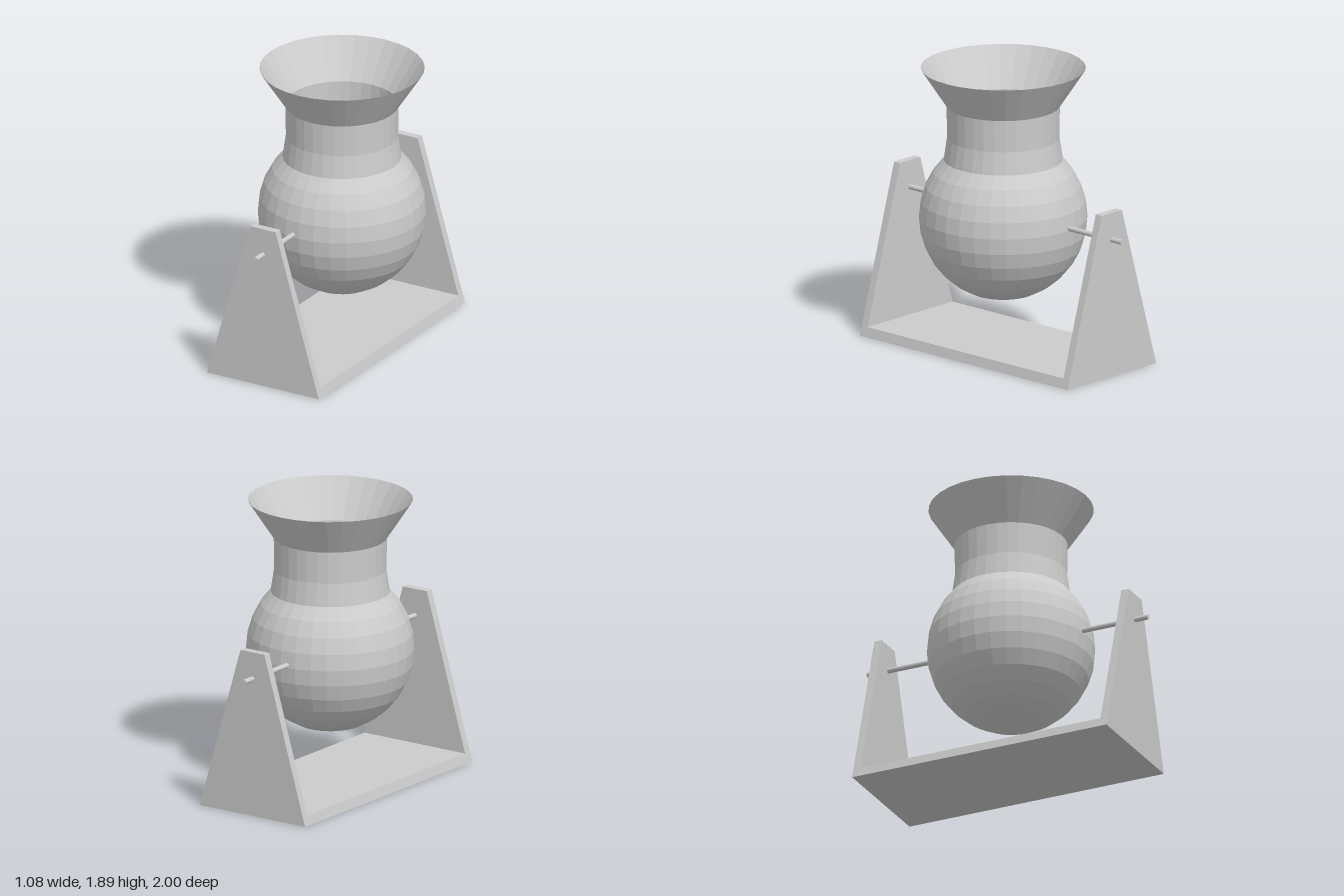
import * as THREE from 'three';

const AXIS_X = -0.045; // the stand and axle sit slightly off the vessel's centre

export function createModel() {
  const group = new THREE.Group();
  const solid = new THREE.MeshStandardMaterial({ color: 0xcccccc, flatShading: true });
  const shell = new THREE.MeshStandardMaterial({ color: 0xcccccc, flatShading: true, side: THREE.DoubleSide });

  const add = (name, geometry, material) => {
    const mesh = new THREE.Mesh(geometry, material);
    mesh.name = name;
    group.add(mesh);
    return mesh;
  };

  // Vessel: thin open shell, round belly up to 45 degrees, then neck and flared mouth
  const radius = 0.54, centreY = 0.9, profile = [];
  for (let i = 0; i <= 12; i++) {
    const a = (i / 16) * Math.PI;
    profile.push(new THREE.Vector2(radius * Math.sin(a), centreY - radius * Math.cos(a)));
  }
  profile.push(
    new THREE.Vector2(0.36, 1.43),
    new THREE.Vector2(0.363, 1.64),
    new THREE.Vector2(0.53, 1.893)
  );
  add('vessel', new THREE.LatheGeometry(profile, 32), shell);

  // Axle running right through the vessel and both supports
  const axle = add('axle', new THREE.CylinderGeometry(0.017, 0.017, 2, 16), solid);
  axle.rotation.x = Math.PI / 2;
  axle.position.set(AXIS_X, 0.915, 0);

  // Stand: tapered slabs, the base following the same slope as the supports
  const bottomHalf = 0.417, topHalf = 0.095, height = 1.093;
  const slab = (name, top, zFrom, zTo) => {
    const half = THREE.MathUtils.lerp(bottomHalf, topHalf, top / height);
    const shape = new THREE.Shape([
      new THREE.Vector2(-bottomHalf, 0),
      new THREE.Vector2(bottomHalf, 0),
      new THREE.Vector2(half, top),
      new THREE.Vector2(-half, top),
    ]);
    const geometry = new THREE.ExtrudeGeometry(shape, { depth: zTo - zFrom, bevelEnabled: false });
    add(name, geometry, solid).position.set(AXIS_X, 0, zFrom);
  };
  slab('frontSupport', height, 0.855, 0.907);
  slab('backSupport', height, -0.907, -0.855);
  slab('base', 0.063, -0.855, 0.855);

  return group;
}
